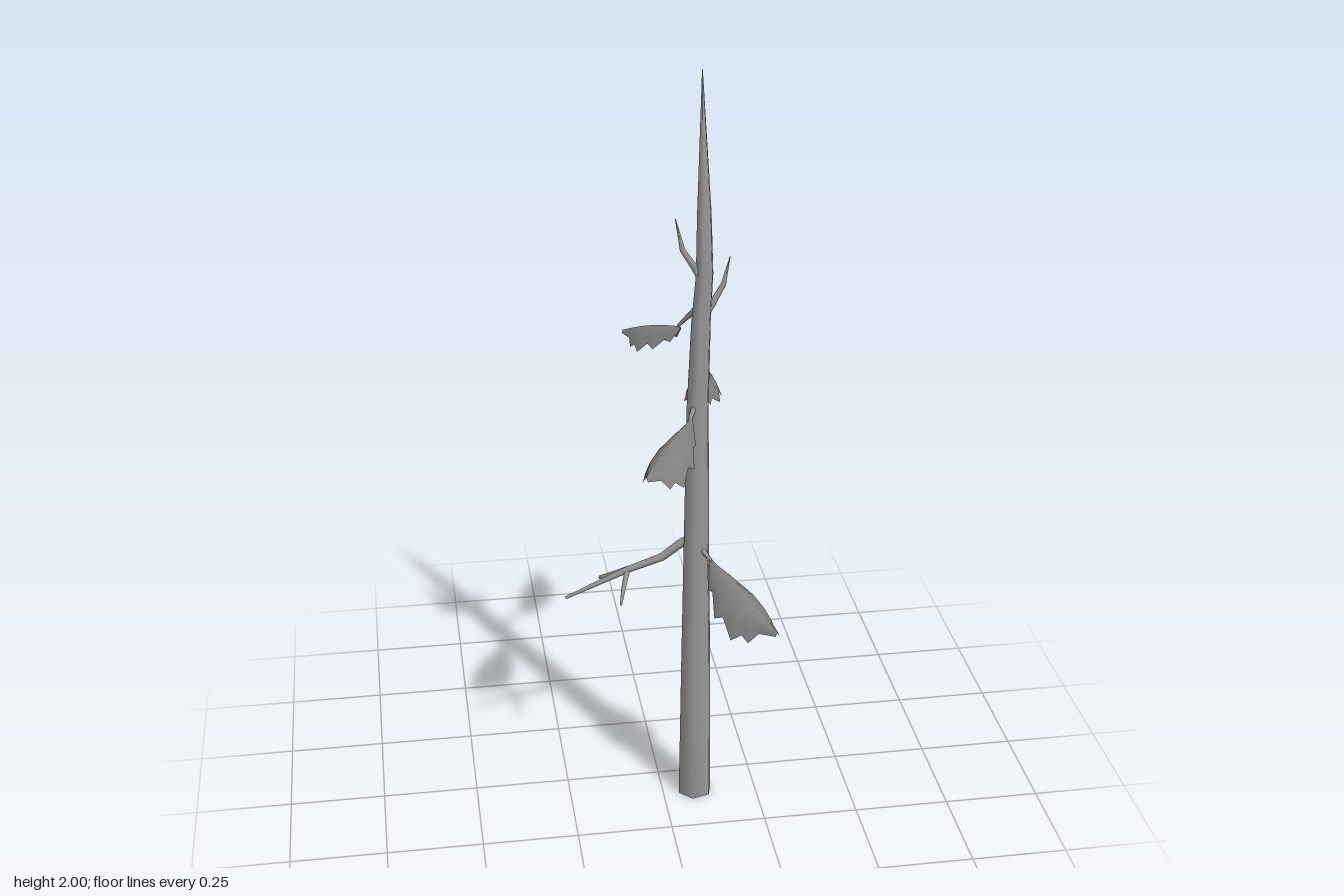
import * as THREE from 'three';

const bark = new THREE.MeshStandardMaterial({ color: 0x999999, side: THREE.DoubleSide });
const foliage = new THREE.MeshStandardMaterial({ color: 0x808080, side: THREE.DoubleSide });

// Indexed smooth grid surface from rows of points; closed joins each row into a ring
function surface(name, rows, closed, material) {
  const n = rows[0].length;
  const index = [];
  for (let i = 0; i < rows.length - 1; i++) {
    for (let j = 0; j < (closed ? n : n - 1); j++) {
      const k = (j + 1) % n;
      const a = i * n + j, b = i * n + k, c = a + n, d = b + n;
      index.push(a, b, c, b, d, c);
    }
  }
  const geometry = new THREE.BufferGeometry().setFromPoints(rows.flat());
  geometry.setIndex(index);
  geometry.computeVertexNormals();
  const mesh = new THREE.Mesh(geometry, material);
  mesh.name = name;
  return mesh;
}

// Tapered limb through stations of [x, y, z, radius]
function limb(name, stations, sides = 5) {
  const pts = stations.map(([x, y, z]) => new THREE.Vector3(x, y, z));
  const whole = pts[pts.length - 1].clone().sub(pts[0]).normalize();
  const ref = Math.abs(whole.y) > 0.8 ? new THREE.Vector3(0, 0, 1) : new THREE.Vector3(0, 1, 0);
  const rows = pts.map((p, i) => {
    const dir = pts[Math.min(i + 1, pts.length - 1)].clone().sub(pts[Math.max(i - 1, 0)]).normalize();
    const u = new THREE.Vector3().crossVectors(ref, dir).normalize();
    const v = new THREE.Vector3().crossVectors(dir, u);
    return Array.from({ length: sides }, (_, j) => {
      const a = ((j + 0.25) / sides) * Math.PI * 2;
      return p.clone()
        .addScaledVector(u, Math.cos(a) * stations[i][3])
        .addScaledVector(v, Math.sin(a) * stations[i][3]);
    });
  });
  return surface(name, rows, true, bark);
}

// Leaf outline along its length: [position, half-width, droop], with ragged teeth
const LEAF = [
  [0, 0.08, 0.15], [0.12, 0.5, 0.7], [0.2, 0.54, 0.58], [0.36, 0.95, 1],
  [0.46, 0.86, 0.74], [0.62, 1, 1.08], [0.7, 0.74, 0.76], [0.78, 0.68, 0.82],
  [0.84, 0.36, 0.42], [1, 0.08, 0.14],
];

// Drooping leaf: raised rib, broad shoulders, and steep serrated rims
function leaf(name, from, to, halfWidth, droop, arch) {
  const start = new THREE.Vector3(...from), end = new THREE.Vector3(...to);
  const side = new THREE.Vector3(end.z - start.z, 0, start.x - end.x).normalize();
  const rows = LEAF.map(([t, w, d]) => {
    const p = start.clone().lerp(end, t);
    p.y += arch * Math.sin(Math.PI * t);
    return [1, 0.68, 0, -0.68, -1].map((s) => {
      const q = p.clone().addScaledVector(side, s * w * halfWidth);
      q.y -= droop * d * Math.pow(Math.abs(s), 2.1);
      return q;
    });
  });
  return surface(name, rows, false, foliage);
}

export function createModel() {
  const model = new THREE.Group();
  model.name = 'saplingTree';

  // Slightly bent trunk, open at the foot, running to a sharp point
  model.add(limb('trunk', [
    [0.087, 0, 0.09, 0.047], [0.087, 0.4, 0.089, 0.042], [0.086, 0.8, 0.088, 0.035],
    [0.086, 1.15, 0.088, 0.03], [0.092, 1.38, 0.09, 0.026],
    [0.099, 1.5, 0.093, 0.023], [0.097, 1.65, 0.092, 0.019], [0.09, 2, 0.086, 0.001],
  ], 6));

  // Bare forked branch
  const bare = new THREE.Group();
  bare.name = 'bareBranch';
  bare.add(
    limb('branch', [[0.085, 0.785, 0.085, 0.013], [0.045, 0.76, 0.078, 0.012], [0, 0.722, 0.072, 0.011],
      [-0.09, 0.688, 0.066, 0.009], [-0.25, 0.61, 0.053, 0.004]]),
    limb('frontTwig', [[-0.088, 0.69, 0.063, 0.008], [-0.104, 0.65, 0.098, 0.006], [-0.115, 0.62, 0.128, 0.003]]),
    limb('backTwig', [[-0.085, 0.69, 0.067, 0.009], [-0.115, 0.658, 0.028, 0.007], [-0.152, 0.622, -0.018, 0.005]]),
  );
  model.add(bare);

  // Upper bare twigs
  model.add(
    limb('upperRightTwig', [[0.095, 1.48, 0.092, 0.01], [0.075, 1.52, 0.097, 0.009],
      [0.043, 1.57, 0.104, 0.007], [0.025, 1.65, 0.109, 0.001]]),
    limb('upperLeftTwig', [[0.1, 1.39, 0.088, 0.01], [0.12, 1.42, 0.082, 0.009],
      [0.148, 1.465, 0.074, 0.007], [0.165, 1.535, 0.07, 0.001]]),
  );

  // Leaf stalks
  model.add(
    limb('lowerLeafStalk', [[0.085, 0.77, 0.09, 0.008], [0.102, 0.752, 0.118, 0.007], [0.12, 0.732, 0.142, 0.004]]),
    limb('frontLeafStalk', [[0.083, 1.165, 0.09, 0.008], [0.07, 1.148, 0.113, 0.007], [0.055, 1.126, 0.135, 0.004]]),
    limb('backLeafStalk', [[0.085, 1.185, 0.075, 0.01], [0.096, 1.175, 0.035, 0.009],
      [0.107, 1.155, -0.02, 0.007], [0.125, 1.1, -0.092, 0.005]]),
    limb('upperLeafStalk', [[0.09, 1.42, 0.085, 0.008], [0.07, 1.385, 0.06, 0.007], [0.045, 1.345, 0.032, 0.004]]),
  );

  // Leaves
  model.add(
    leaf('lowerLeaf', [0.115, 0.742, 0.135], [0.243, 0.655, 0.372], 0.066, 0.084, 0.008),
    leaf('frontLeaf', [0.064, 1.138, 0.125], [-0.075, 1.076, 0.311], 0.056, 0.076, 0.006),
    leaf('backLeaf', [0.124, 1.102, -0.09], [0.184, 1.056, -0.37], 0.05, 0.066, 0.012),
    leaf('upperLeaf', [0.05, 1.345, 0.036], [-0.079, 1.298, -0.074], 0.033, 0.054, 0.008),
  );

  return model;
}
